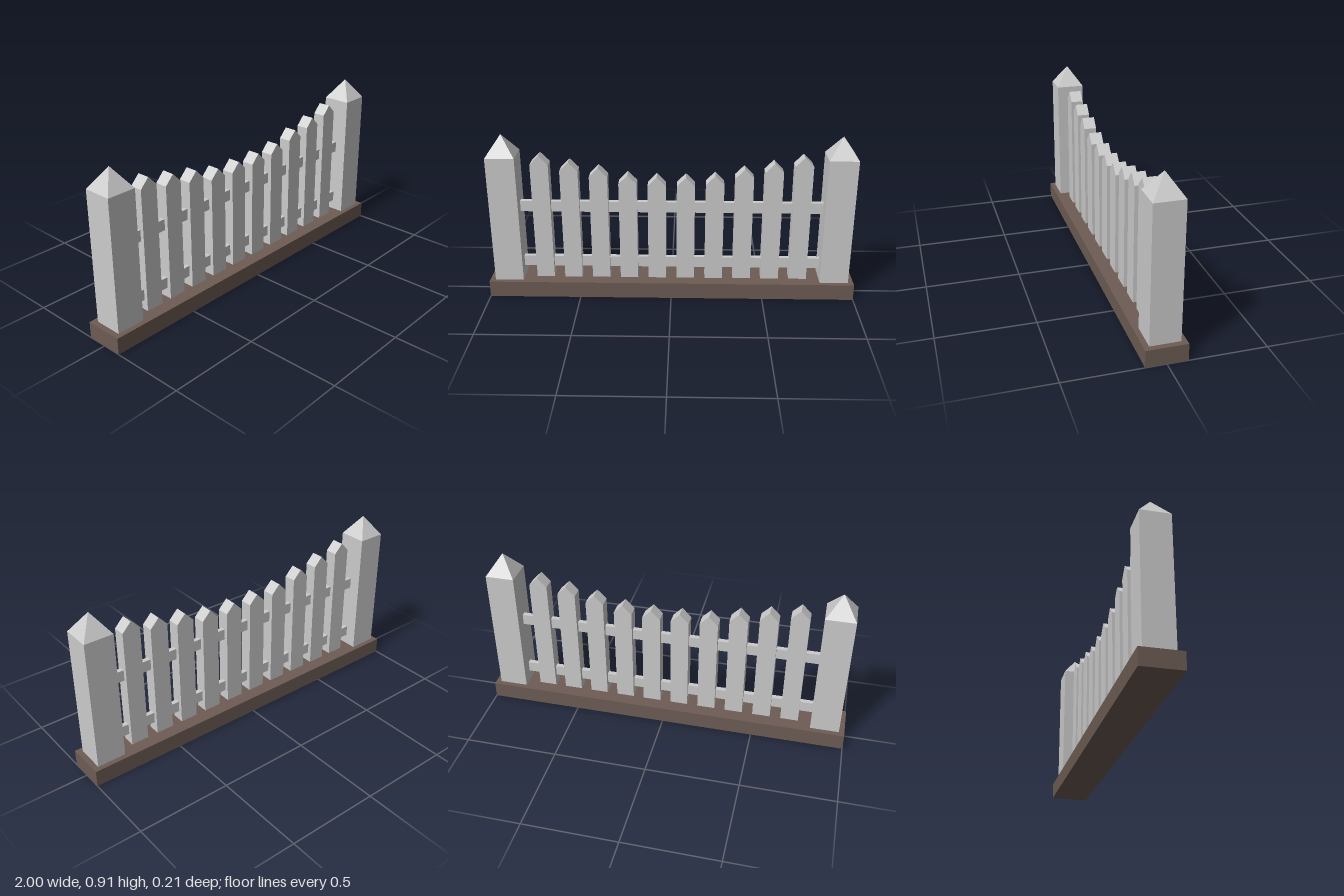
import * as THREE from 'three';

const grey = new THREE.MeshStandardMaterial({ color: 0xcccccc, flatShading: true });
const brown = new THREE.MeshStandardMaterial({ color: 0x6d5c54, flatShading: true });

const BASE_TOP = 0.09;

function add(parent, name, geometry, material, x, y, z = 0) {
  const mesh = new THREE.Mesh(geometry, material);
  mesh.name = name;
  mesh.position.set(x, y, z);
  parent.add(mesh);
  return mesh;
}

// Board with a gabled tip, standing on y = 0
function picketGeometry(width, height, depth, tip) {
  const w = width / 2;
  const shape = new THREE.Shape([
    new THREE.Vector2(-w, 0),
    new THREE.Vector2(w, 0),
    new THREE.Vector2(w, height - tip),
    new THREE.Vector2(0, height),
    new THREE.Vector2(-w, height - tip),
  ]);
  return new THREE.ExtrudeGeometry(shape, { depth, bevelEnabled: false }).translate(0, 0, -depth / 2);
}

// Square post with a pyramid cap
function createPost(name, x) {
  const post = new THREE.Group();
  post.name = name;
  const width = 0.155, height = 0.707, cap = 0.11;
  add(post, 'postShaft', new THREE.BoxGeometry(width, height, width), grey, 0, height / 2);
  const pyramid = new THREE.ConeGeometry(width / Math.SQRT2, cap, 4).rotateY(Math.PI / 4);
  add(post, 'postCap', pyramid, grey, 0, height + cap / 2);
  post.position.set(x, BASE_TOP, 0);
  return post;
}

export function createModel() {
  const fence = new THREE.Group();
  fence.name = 'picketFence';

  // Plinth
  add(fence, 'base', new THREE.BoxGeometry(2, BASE_TOP, 0.21), brown, 0, BASE_TOP / 2);

  // End posts
  fence.add(createPost('leftPost', 0.893), createPost('rightPost', -0.893));

  // Horizontal rails between the posts
  const railGeometry = new THREE.BoxGeometry(1.64, 0.06, 0.026);
  add(fence, 'lowerRail', railGeometry, grey, 0, 0.177);
  add(fence, 'upperRail', railGeometry, grey, 0, 0.505);

  // Pickets, dipping towards the middle
  const tops = [0.685, 0.695, 0.733, 0.765, 0.8];
  tops.forEach((top, i) => {
    const geometry = picketGeometry(0.097, top - BASE_TOP, 0.068, 0.05);
    for (const side of [1, -1]) {
      add(fence, side > 0 ? 'leftPicket' : 'rightPicket', geometry, grey, side * 0.155 * (i + 0.5), BASE_TOP);
    }
  });

  return fence;
}
